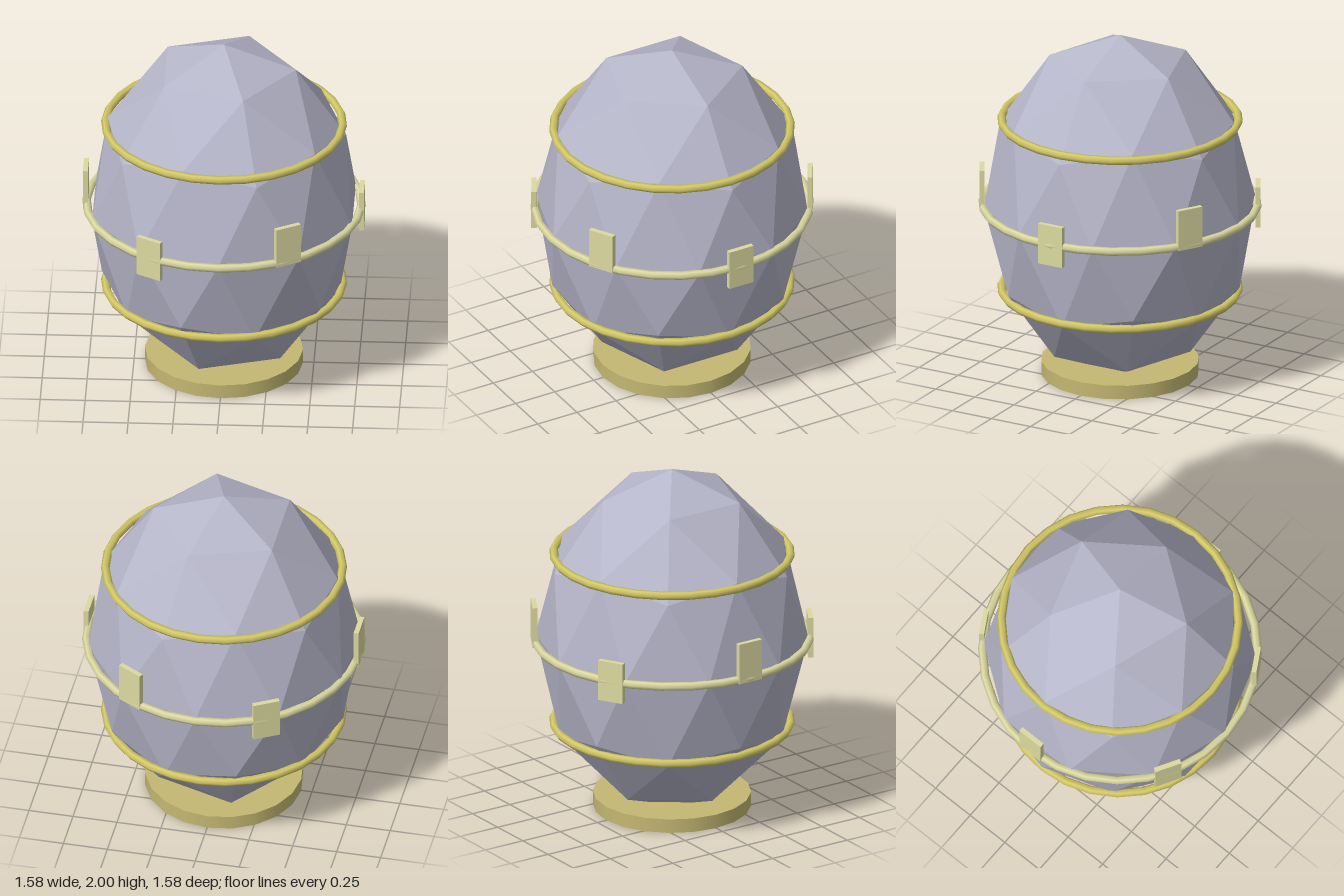
import * as THREE from 'three';

function material(name, color, flatShading = false) {
  const m = new THREE.MeshStandardMaterial({ color, flatShading });
  m.name = name;
  return m;
}

export function createModel() {
  const group = new THREE.Group();
  const lavender = material('lavender grey', 0xb6b6ca, true);
  const gold = material('gold', 0xd4c966);
  const paleGold = material('pale gold', 0xdcdaa0);
  const dullGold = material('dull gold', 0xc4b872);

  function add(name, geometry, mat, x = 0, y = 0, z = 0) {
    const mesh = new THREE.Mesh(geometry, mat);
    mesh.name = name;
    mesh.position.set(x, y, z);
    group.add(mesh);
    return mesh;
  }

  // Faceted egg: an icosphere turned so that one corner points straight up
  const egg = new THREE.IcosahedronGeometry(1, 1);
  egg.rotateZ(-Math.atan(2 / (1 + Math.sqrt(5))));
  egg.scale(0.76, 1, 0.76);
  egg.computeVertexNormals();
  add('eggBody', egg, lavender, 0, 1, 0);

  // Round foot
  add('base', new THREE.CylinderGeometry(0.44, 0.44, 0.08, 20), dullGold, 0, 0.04, 0);

  // Horizontal hoops
  function hoop(name, radius, y, mat) {
    const torus = new THREE.TorusGeometry(radius, 0.024, 6, 28);
    torus.rotateX(Math.PI / 2);
    add(name, torus, mat, 0, y, 0);
  }
  hoop('upperRing', 0.66, 1.5, gold);
  hoop('middleRing', 0.765, 1, paleGold);
  hoop('lowerRing', 0.66, 0.5, gold);

  // Six plates on the middle ring, every other one raised
  const plate = new THREE.BoxGeometry(0.028, 0.236, 0.153);
  for (let i = 0; i < 6; i++) {
    const a = (i * Math.PI) / 3;
    const y = i % 2 ? 1.102 : 1.002;
    add('plate' + (i + 1), plate, paleGold, 0.768 * Math.cos(a), y, 0.768 * Math.sin(a)).rotation.y = -a;
  }
  return group;
}
